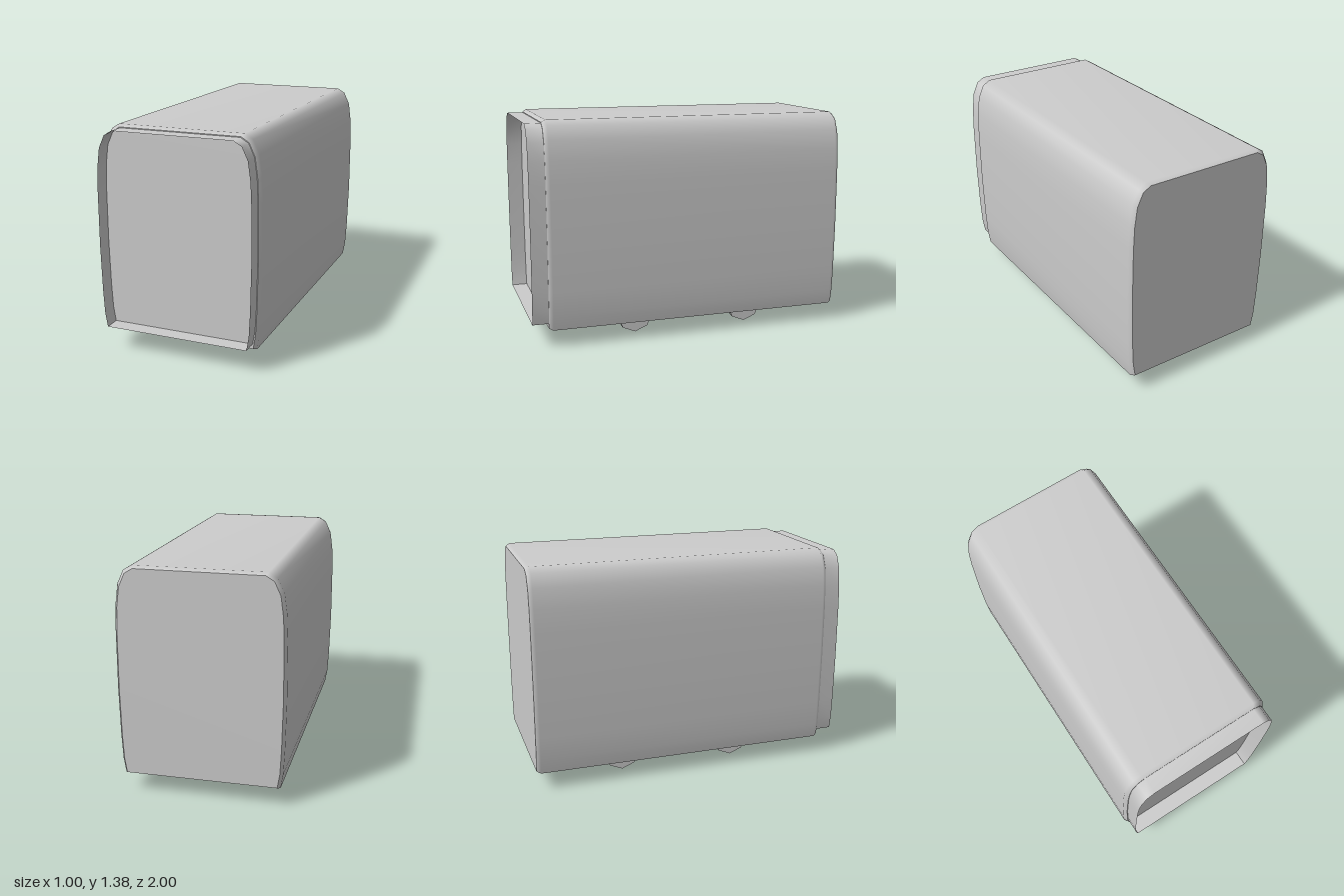
import * as THREE from 'three';

// Right half of the carriage cross-section, bottom to top
const HALF = [[0.47, 0.11], [0.485, 0.2], [0.493, 0.35], [0.5, 0.65], [0.499, 1.0],
  [0.493, 1.15], [0.477, 1.27], [0.44, 1.35], [0.39, 1.38]];
const BOTTOM = 0.11, TOP = 1.38;

// Full outline (right, over the roof, left), squeezed to a width factor and height range
function outline(w, y0, y1) {
  const full = [...HALF, ...HALF.map(([x, y]) => [-x, y]).reverse()];
  return full.map(([x, y]) => [x * w, y0 + (y - BOTTOM) / (TOP - BOTTOM) * (y1 - y0)]);
}

// Smooth skin lofted through rings given as [z, outline], from back to front
function loft(rings) {
  const pos = [], idx = [], n = rings[0][1].length;
  for (const [z, pts] of rings) for (const [x, y] of pts) pos.push(x, y, z);
  for (let r = 0; r < rings.length - 1; r++) {
    for (let i = 0; i < n - 1; i++) {
      const a = r * n + i, b = a + 1, c = b + n, d = a + n;
      idx.push(a, b, c, a, c, d);
    }
  }
  const g = new THREE.BufferGeometry();
  g.setAttribute('position', new THREE.Float32BufferAttribute(pos, 3));
  g.setIndex(idx);
  g.computeVertexNormals();
  return g;
}

const panel = (pts) => new THREE.ShapeGeometry(new THREE.Shape(pts.map(([x, y]) => new THREE.Vector2(x, y))));

export function createModel() {
  const group = new THREE.Group();
  const grey = new THREE.MeshStandardMaterial({ color: 0xcccccc });
  const greySheet = new THREE.MeshStandardMaterial({ color: 0xcccccc, side: THREE.DoubleSide });
  greySheet.name = 'grey sheet';
  grey.name = 'grey';
  const add = (name, geometry, material = grey) => {
    const mesh = new THREE.Mesh(geometry, material);
    mesh.name = name;
    group.add(mesh);
    return mesh;
  };

  // Body shell with slightly drawn-in ends
  const wide = outline(1, BOTTOM, TOP);
  const end = outline(0.967, 0.12, 1.365);
  add('bodyShell', loft([[-1, end], [-0.975, wide], [0.875, wide], [0.9, end]]));
  add('rearPanel', panel(end).rotateY(Math.PI)).position.z = -1;
  add('frontPanel', panel(end)).position.z = 0.9;

  // Underside
  const under = add('underside', new THREE.PlaneGeometry(0.935, 1.9).rotateX(Math.PI / 2));
  under.position.set(0, 0.12, -0.05);

  // Open connecting sleeve at the front
  const rim = outline(0.96, 0.15, 1.36);
  add('sleeveWall', loft([[0.9, rim], [1, rim]]), greySheet);
  const floor = add('sleeveFloor', new THREE.PlaneGeometry(rim[0][0] * 2, 0.1).rotateX(-Math.PI / 2), greySheet);
  floor.position.set(0, 0.15, 0.95);

  // Half-sunken wheels and the thin rails beside them
  const wheel = new THREE.CylinderGeometry(0.115, 0.115, 0.04, 8).rotateZ(Math.PI / 2);
  wheel.rotateX(Math.PI / 2);
  for (const side of [-1, 1]) {
    for (const z of [0.325, -0.425]) {
      add('wheel', wheel).position.set(side * 0.312, 0.115, z);
    }
    const rail = add('wheelRail', new THREE.BoxGeometry(0.05, 0.012, 0.95));
    rail.position.set(side * 0.353, 0.114, -0.05);
  }
  return group;
}
